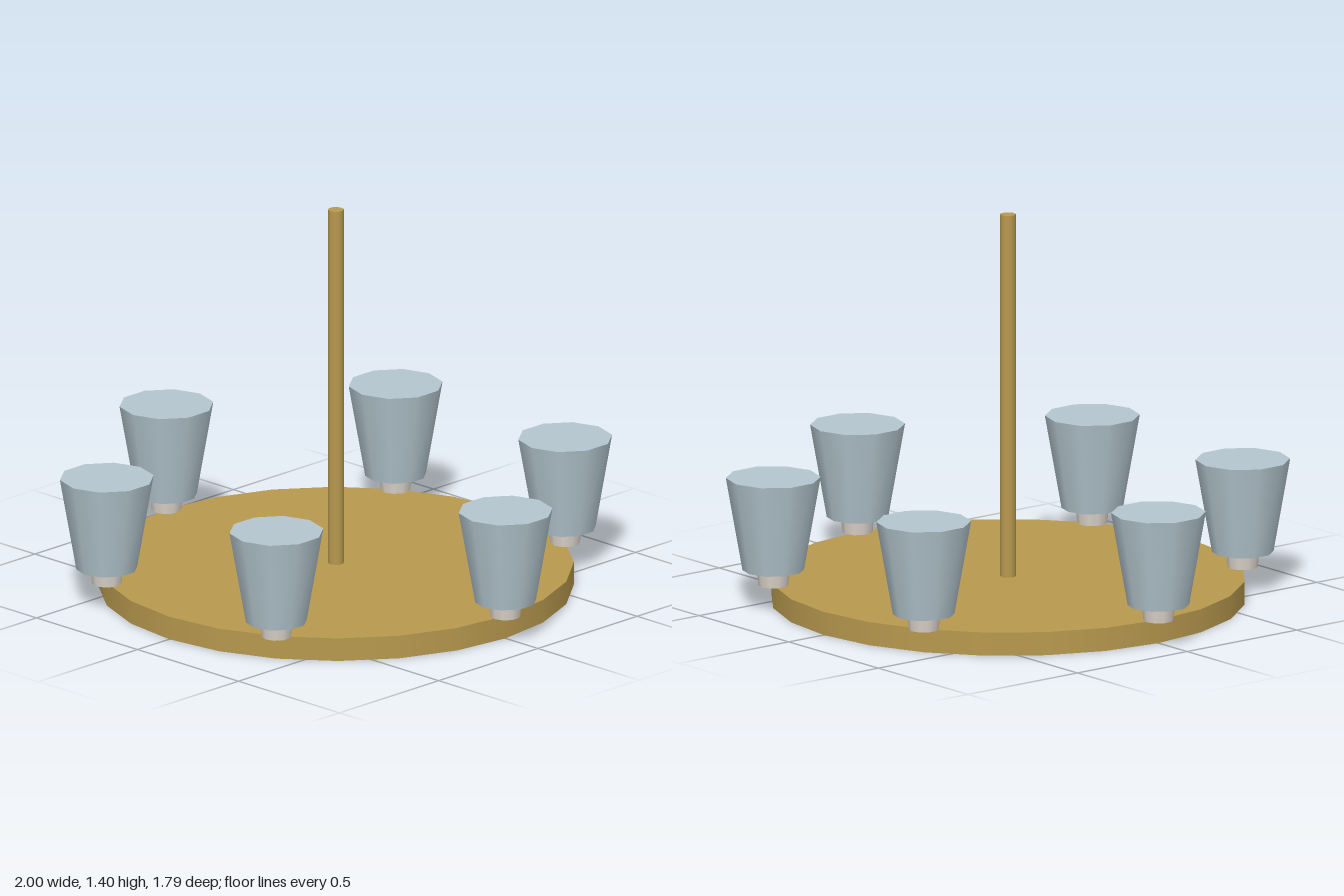
import * as THREE from 'three';

export function createModel() {
  const model = new THREE.Group();
  model.name = 'chandelier';

  const material = (name, color) => {
    const m = new THREE.MeshStandardMaterial({ color });
    m.name = name;
    return m;
  };
  const brass = material('brass', 0xb8994e);
  const glass = material('pale blue glass', 0xb3c6ce);
  const ceramic = material('ceramic', 0xdcd4cb);

  // Upright round part standing between two heights
  const round = (name, mat, rTop, rBottom, y0, y1, sides) => {
    const mesh = new THREE.Mesh(new THREE.CylinderGeometry(rTop, rBottom, y1 - y0, sides), mat);
    mesh.name = name;
    mesh.position.y = (y0 + y1) / 2;
    return mesh;
  };

  // Base disc and hanging rod
  const ring = 0.84;
  const discTop = 0.084;
  model.add(round('disc', brass, ring, ring, 0, discTop, 24));
  model.add(round('rod', brass, 0.028, 0.028, discTop, 1.4, 10));

  // Six lamps spaced evenly on the rim, all keeping the same orientation
  for (let i = 0; i < 6; i++) {
    const a = (i * Math.PI) / 3;
    const lamp = new THREE.Group();
    lamp.name = `lamp${i + 1}`;
    lamp.position.set(ring * Math.cos(a), 0, ring * Math.sin(a));
    lamp.add(round('socket', ceramic, 0.059, 0.053, discTop, 0.14, 10));
    lamp.add(round('shade', glass, 0.168, 0.109, 0.14, 0.476, 10));
    model.add(lamp);
  }
  return model;
}
